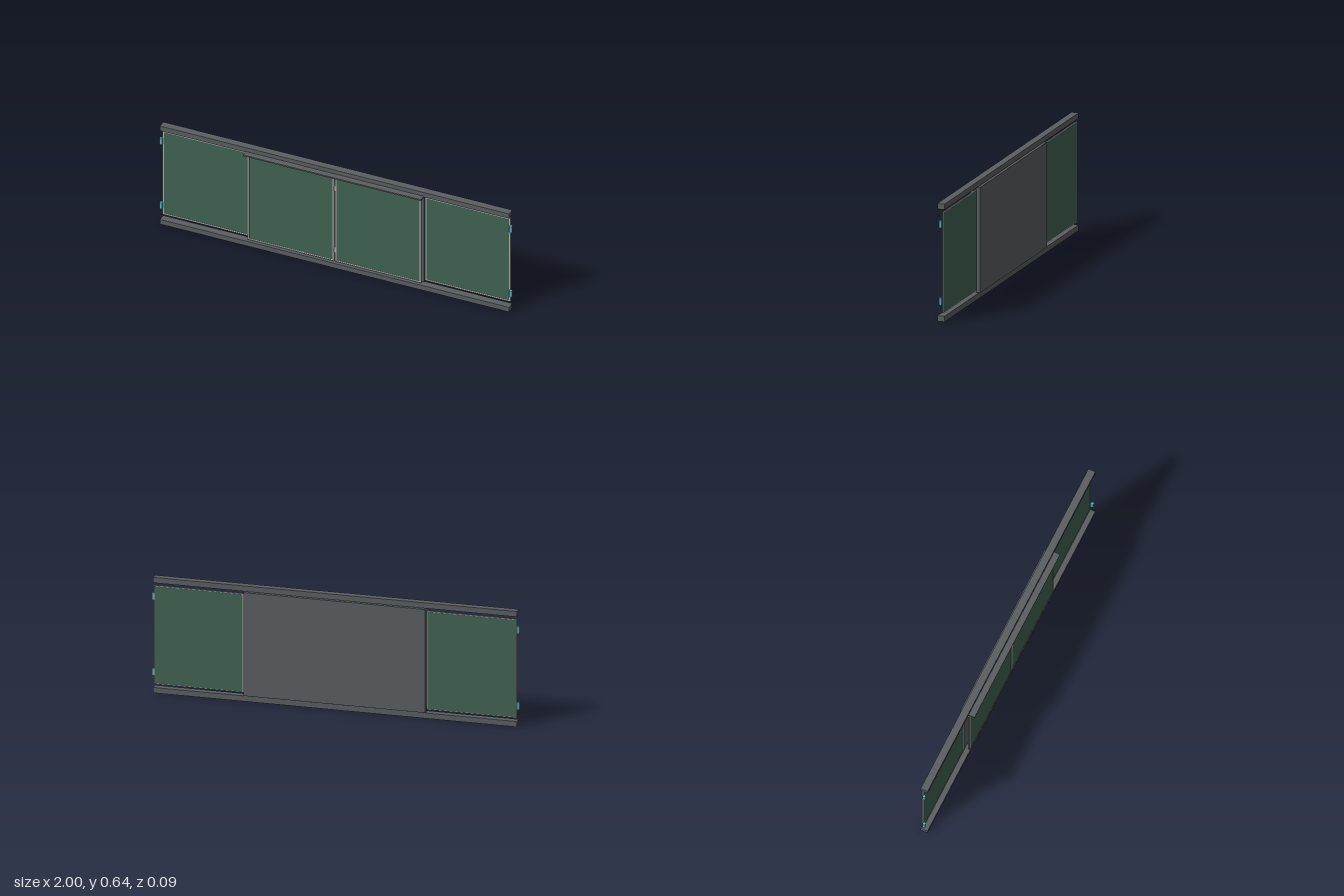
import * as THREE from 'three';

const mat = (name, color) => {
  const m = new THREE.MeshStandardMaterial({ color });
  m.name = name;
  return m;
};

// Box given by its limits on each axis
function box(name, [x0, x1], [y0, y1], [z0, z1], material) {
  const mesh = new THREE.Mesh(new THREE.BoxGeometry(x1 - x0, y1 - y0, z1 - z0), material);
  mesh.position.set((x0 + x1) / 2, (y0 + y1) / 2, (z0 + z1) / 2);
  mesh.name = name;
  return mesh;
}

// Upright hinge barrel
function barrel(name, x, y, z, radius, height, material) {
  const mesh = new THREE.Mesh(new THREE.CylinderGeometry(radius, radius, height, 20), material);
  mesh.position.set(x, y, z);
  mesh.name = name;
  return mesh;
}

export function createModel() {
  const model = new THREE.Group();
  model.name = 'slidingBoard';
  const dark = mat('darkGrey', 0x5b5f62);
  const green = mat('boardGreen', 0x416453);
  const trim = mat('frameGrey', 0xb2aeae);
  const cyan = mat('hingeCyan', 0x56bac6);

  const Y0 = 0.047, Y1 = 0.59, RIM = 0.009;

  // Writing panel: rectangular frame around a thin green board
  function panel(name, x0, x1, z0, z1) {
    const group = new THREE.Group();
    group.name = name;
    const shape = new THREE.Shape([[x0, Y0], [x1, Y0], [x1, Y1], [x0, Y1]].map(p => new THREE.Vector2(...p)));
    const a = x0 + RIM, b = x1 - RIM, c = Y0 + RIM, d = Y1 - RIM;
    shape.holes.push(new THREE.Path([[a, c], [a, d], [b, d], [b, c]].map(p => new THREE.Vector2(...p))));
    const frame = new THREE.Mesh(new THREE.ExtrudeGeometry(shape, { depth: z1 - z0, bevelEnabled: false }), trim);
    frame.position.z = z0;
    frame.name = 'panelFrame';
    group.add(frame);
    group.add(box('writingSurface', [a, b], [c, d], [z0 + 0.001, z1 - 0.001], green));
    // Backing sheet overlaps the rear of the frame
    group.add(box('backingSheet', [x0 + 0.004, x1 - 0.004], [Y0 + 0.004, Y1 - 0.004], [z0 - 0.0005, z0 + 0.0015], green));
    model.add(group);
  }

  // Horizontal rails, ledge and central wall cabinet
  model.add(box('bottomRail', [-0.99, 0.99], [0, 0.03], [-0.031, 0.009], dark));
  model.add(box('topRail', [-0.99, 0.99], [0.606, 0.636], [-0.031, 0.009], dark));
  model.add(box('topLedge', [-0.505, 0.505], [0.604, 0.612], [-0.02, 0.043], dark));
  model.add(box('centreBacking', [-0.495, 0.495], [0.034, 0.603], [-0.042, -0.0195], dark));

  for (const s of [-1, 1]) {
    const side = s > 0 ? 'left' : 'right';
    const span = (a, b) => (s > 0 ? [a, b] : [-b, -a]);
    // Fixed wing, then the two folding leaves over the centre
    panel(side + 'WingPanel', ...span(0.5, 0.987), -0.0245, -0.0175);
    panel(side + 'RearLeaf', ...span(0.003, 0.492), -0.0005, 0.004);
    panel(side + 'FrontLeaf', ...span(0.003, 0.492), 0.0065, 0.0115);
    // Outer hinges
    for (const y of [0.11, 0.527]) {
      model.add(barrel(side + 'OuterHinge', s * 0.9915, y, -0.0095, 0.0085, 0.039, cyan));
    }
  }

  // Hinges joining the front leaves
  for (const y of [0.119, 0.517]) {
    model.add(barrel('centreHinge', 0, y, 0.0085, 0.0055, 0.029, trim));
  }
  return model;
}
